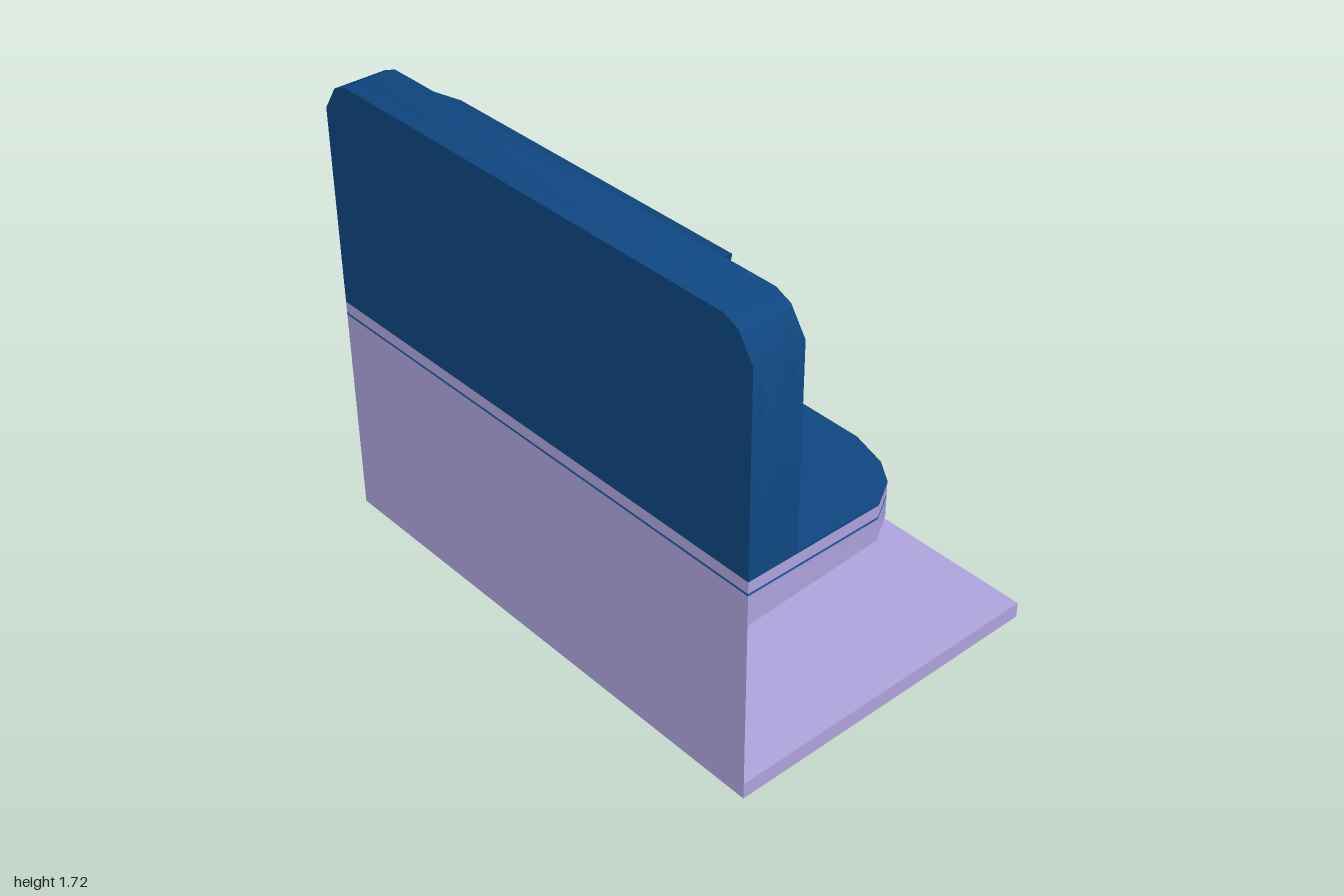
import * as THREE from 'three';
import { toCreasedNormals } from 'three/addons/utils/BufferGeometryUtils.js';
import { ConvexGeometry } from 'three/addons/geometries/ConvexGeometry.js';

const mat = (color) => new THREE.MeshStandardMaterial({ color });
const lavender = mat(0xada3dc), blue = mat(0x0f4680), rimBlue = mat(0x2458a8);
const yellow = mat(0xb4b20c), orange = mat(0xb57d18);

const shapeOf = (pts, holes = []) => {
  const s = new THREE.Shape(pts.map(([x, y]) => new THREE.Vector2(x, y)));
  s.holes = holes.map((h) => new THREE.Path(h.map(([x, y]) => new THREE.Vector2(x, y))));
  return s;
};
const rect = (x0, y0, x1, y1) => [[x0, y0], [x1, y0], [x1, y1], [x0, y1]];
// rectangle with cut corners
const cutRect = (w, y0, y1, c) => [
  [-w + c, y0], [w - c, y0], [w, y0 + c], [w, y1 - c],
  [w - c, y1], [-w + c, y1], [-w, y1 - c], [-w, y0 + c],
];
const mirror = (pts) => pts.map(([x, y]) => [-x, y]).reverse();
const extrude = (pts, depth, holes) =>
  new THREE.ExtrudeGeometry(shapeOf(pts, holes), { depth, bevelEnabled: false });

export function createModel() {
  const model = new THREE.Group();
  const add = (name, geo, material, crease = true) => {
    const mesh = new THREE.Mesh(crease ? toCreasedNormals(geo, 0.6) : geo, material);
    mesh.name = name;
    model.add(mesh);
    return mesh;
  };
  // slab standing in the xy plane, from z0 to z1
  const upright = (name, pts, z0, z1, material, holes) =>
    add(name, extrude(pts, z1 - z0, holes).translate(0, 0, z0), material);
  // slab lying flat, outline given as [x, z], from y0 to y1
  const flip = (pts) => pts.map(([x, z]) => [x, -z]);
  const flat = (pts, y0, y1, holes = []) =>
    extrude(flip(pts), y1 - y0, holes.map(flip)).rotateX(-Math.PI / 2).translate(0, y0, 0);

  // floor plate, wall with angled ends, centre column
  add('floorPlate', flat(rect(-1, -0.635, 1, 0.635), 0, 0.06), lavender);
  add('supportWall', flat([[-1, 0.635], [1, 0.635], [0.8, 0.44], [-0.8, 0.44]], 0.055, 0.71), lavender);
  add('column', flat(rect(-0.2, -0.09, 0.2, 0.22), 0.055, 0.75), lavender);
  upright('columnSlit', rect(-0.01, 0.11, 0.01, 0.52), -0.094, -0.08, rimBlue);

  // desk: sloping lower body, seam, upper rim and top sheet
  const half = [[1, 0.635], [1, 0.1], [0.94, 0], [0.86, -0.055], [0.72, -0.095]];
  const desk = [...half, ...mirror(half)];
  const body = flat(desk, 0.73, 0.806);
  const p = body.attributes.position;
  for (let i = 0; i < p.count; i++) {
    if (p.getY(i) < 0.75) p.setY(i, 0.73 - 0.035 * Math.max(0, p.getZ(i)) / 0.635);
  }
  body.computeVertexNormals();
  add('deskBody', body, lavender);
  add('deskSeam', flat(desk, 0.806, 0.815), rimBlue);
  add('deskRim', flat(desk, 0.815, 0.858), lavender);
  add('deskTop', flat(desk, 0.858, 0.865, [rect(-0.45, -0.07, 0.45, 0.38)]), blue);
  add('deskPanel', flat(rect(-0.44, -0.056, 0.44, 0.367), 0.858, 0.865), blue);
  upright('deskSlot', [[-0.28, 0.772], [0.28, 0.772], [0.45, 0.8], [-0.45, 0.8]], -0.098, -0.09, orange);

  // upright board in layers, with shelf recesses and a screen recess
  const side = [[1, 0.86], [1, 1.6], [0.94, 1.69], [0.88, 1.715]];
  const board = [...side, ...mirror(side)];
  const lower = rect(0.68, 0.91, 0.97, 1.25);
  const upper = [[0.68, 1.3], [0.97, 1.3], [0.97, 1.58], [0.92, 1.655], [0.87, 1.685], [0.68, 1.685]];
  const shelves = [lower, upper, mirror(lower), mirror(upper)];
  upright('boardFace', board, 0.59, 0.635, blue);
  upright('boardShelves', board, 0.47, 0.59, blue, shelves);
  upright('boardFront', board, 0.44, 0.47, blue, [...shelves, rect(-0.65, 0.89, 0.65, 1.58)]);

  // screen with a stepped frame
  const outer = cutRect(0.635, 0.91, 1.54, 0.05);
  const middle = cutRect(0.615, 0.93, 1.52, 0.05);
  const inner = cutRect(0.59, 0.955, 1.495, 0.045);
  upright('screenFrame', outer, 0.445, 0.475, rimBlue, [middle]);
  upright('screenTrim', middle, 0.452, 0.475, blue, [inner]);
  upright('screen', inner, 0.458, 0.475, yellow);

  // wedge-shaped hood over the screen
  const hood = [];
  for (const s of [-1, 1]) {
    hood.push(new THREE.Vector3(s * 0.67, 1.715, 0.44), new THREE.Vector3(s * 0.67, 1.57, 0.44),
      new THREE.Vector3(s * 0.63, 1.675, 0.367));
  }
  add('hood', new ConvexGeometry(hood), blue, false);

  return model;
}
